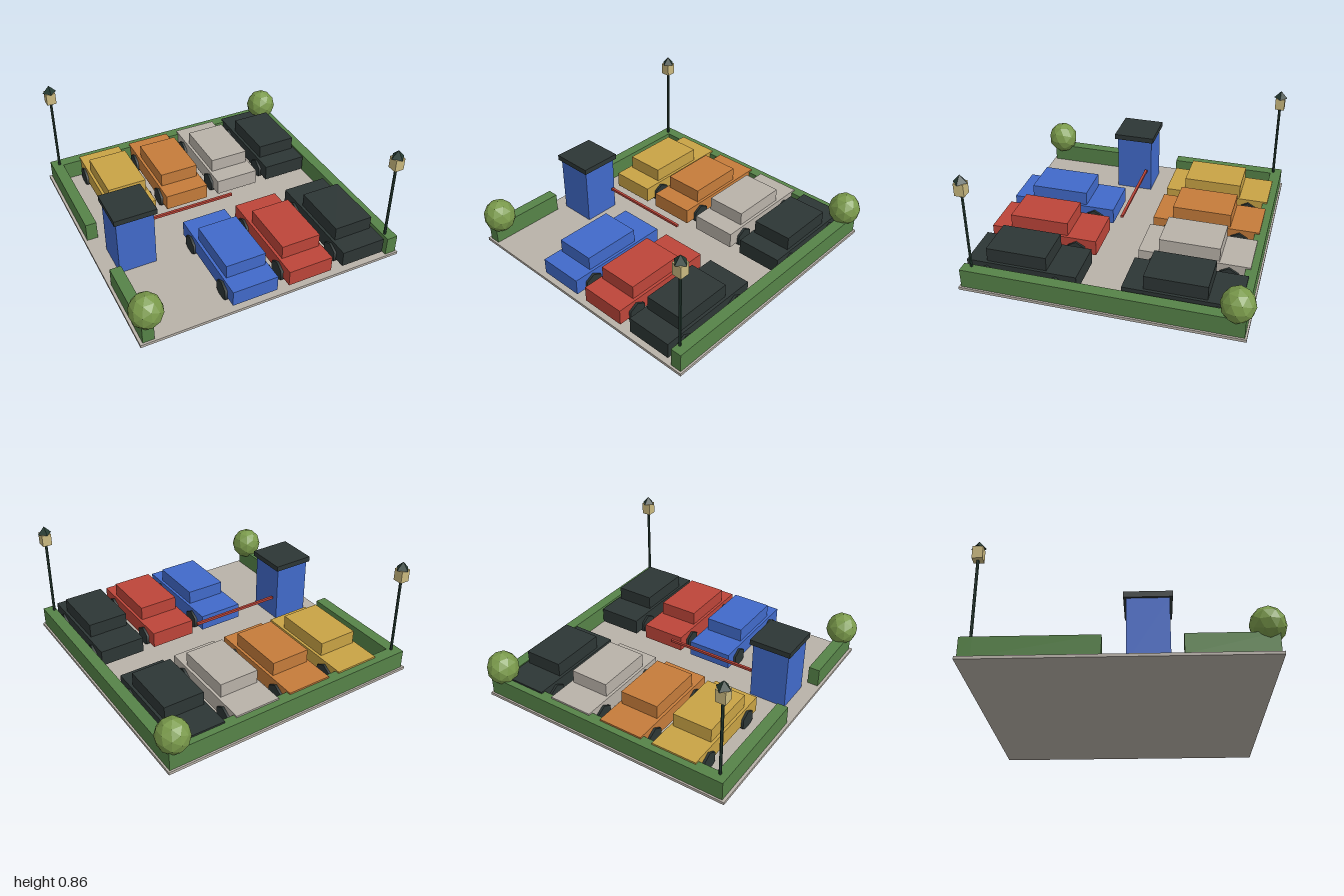
import * as THREE from 'three';

const paint = (name, color) => {
  const m = new THREE.MeshStandardMaterial({ color });
  m.name = name;
  return m;
};

export function createModel() {
  const mats = {
    paving: paint('warm grey', 0xb9b2a9),
    hedge: paint('hedge green', 0x568348),
    foliage: paint('olive foliage', 0x7a9a4b),
    dark: paint('charcoal', 0x2d3635),
    iron: paint('dark green iron', 0x263c33),
    glass: paint('lamp cream', 0xcbba80),
    blue: paint('blue', 0x416aca),
    red: paint('red', 0xbd4539),
    yellow: paint('mustard yellow', 0xc9a345),
    orange: paint('orange', 0xc57c3b),
  };
  mats.foliage.flatShading = true;
  mats.iron.flatShading = true;

  const model = new THREE.Group();
  model.name = 'parkingLot';

  const add = (parent, name, geo, mat, x = 0, y = 0, z = 0) => {
    const mesh = new THREE.Mesh(geo, mat);
    mesh.name = name;
    mesh.position.set(x, y, z);
    parent.add(mesh);
    return mesh;
  };
  // Box given by its extents on each axis
  const block = (parent, name, mat, [x0, x1], [y0, y1], [z0, z1]) =>
    add(parent, name, new THREE.BoxGeometry(x1 - x0, y1 - y0, z1 - z0), mat,
      (x0 + x1) / 2, (y0 + y1) / 2, (z0 + z1) / 2);
  const group = (name, x, z) => {
    const g = new THREE.Group();
    g.name = name;
    g.position.set(x, 0, z);
    model.add(g);
    return g;
  };

  // Paved slab
  block(model, 'pavement', mats.paving, [-0.96, 0.96], [0, 0.02], [-0.96, 0.96]);

  // Hedges, with a gap for the entrance on the -x side
  const hedgeY = [0.02, 0.155];
  block(model, 'backHedge', mats.hedge, [-0.94, 0.947], hedgeY, [-0.947, -0.865]);
  block(model, 'leftHedge', mats.hedge, [0.867, 0.947], hedgeY, [-0.865, 0.945]);
  block(model, 'rightRearHedge', mats.hedge, [-0.94, -0.86], hedgeY, [-0.865, -0.1]);
  block(model, 'rightFrontHedge', mats.hedge, [-0.94, -0.86], hedgeY, [0.385, 0.945]);

  // Attendant booth and barrier arm
  block(model, 'boothWalls', mats.blue, [-0.848, -0.58], [0.01, 0.446], [0.041, 0.309]);
  block(model, 'boothRoof', mats.dark, [-0.864, -0.561], [0.446, 0.485], [0.024, 0.328]);
  block(model, 'barrierArm', mats.red, [-0.562, 0.115], [0.188, 0.206], [0.067, 0.085]);

  // Parked cars in two rows
  const wheelGeo = new THREE.CylinderGeometry(0.072, 0.072, 0.035, 6)
    .rotateY(Math.PI / 2).rotateX(Math.PI / 2).rotateY(Math.PI / 2).rotateX(Math.PI / 2);
  const addCar = (x, z, mat) => {
    const car = group('car', x, z);
    block(car, 'carBody', mat, [-0.163, 0.163], [0.053, 0.167], [-0.383, 0.383]);
    block(car, 'carCabin', mat, [-0.143, 0.143], [0.167, 0.266], [-0.173, 0.245]);
    for (const sx of [-1, 1])
      for (const sz of [-1, 1])
        add(car, 'wheel', wheelGeo, mats.dark, sx * 0.162, 0.074, sz * 0.241);
  };
  [['yellow', -0.557], ['orange', -0.145], ['paving', 0.271], ['dark', 0.684]]
    .forEach(([c, x]) => addCar(x, -0.516, mats[c]));
  [['blue', -0.154], ['red', 0.259], ['dark', 0.674]]
    .forEach(([c, x]) => addCar(x, 0.557, mats[c]));

  // Trees and lamps on alternate corners
  for (const s of [-1, 1]) {
    const bush = add(model, 'bush', new THREE.IcosahedronGeometry(1, 1), mats.foliage,
      s * 0.884, 0.222, -s * 0.884);
    bush.scale.set(0.114, 0.122, 0.114);

    const lamp = group('lampPost', s * 0.885, s * 0.885);
    add(lamp, 'pole', new THREE.CylinderGeometry(0.01, 0.01, 0.7, 6), mats.iron, 0, 0.37, 0);
    block(lamp, 'lantern', mats.glass, [-0.034, 0.034], [0.715, 0.802], [-0.034, 0.034]);
    add(lamp, 'lanternRoof', new THREE.ConeGeometry(0.05, 0.055, 4), mats.iron, 0, 0.828, 0);
  }
  return model;
}
